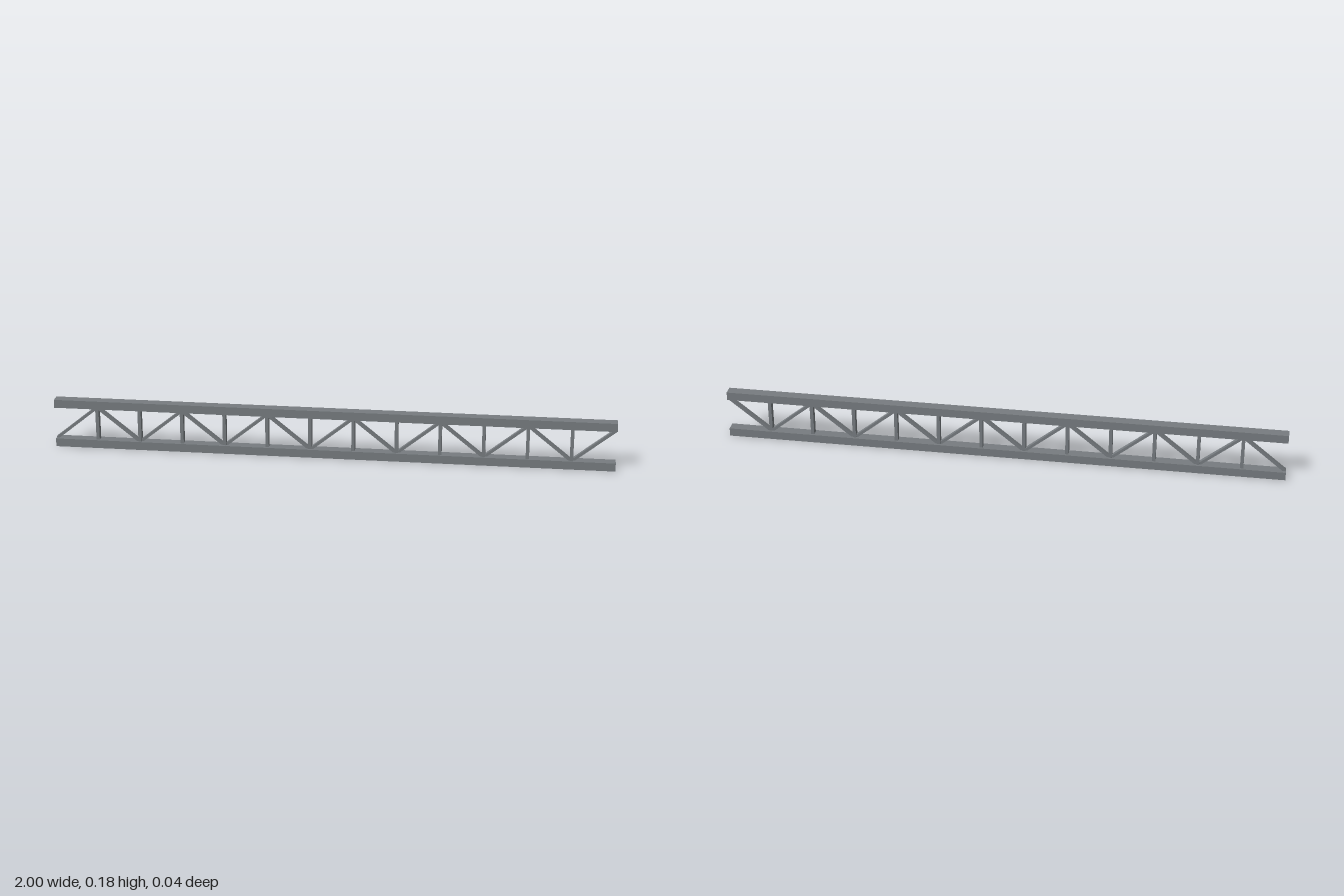
import * as THREE from 'three';

const LENGTH = 2, HEIGHT = 0.178, CHORD_H = 0.03, CHORD_D = 0.037, PANELS = 13;

export function createModel() {
  const steel = new THREE.MeshStandardMaterial({ color: 0x777c80 });
  steel.name = 'steel grey';
  const truss = new THREE.Group();
  truss.name = 'truss';

  const add = (name, geometry, x, y, angle = 0) => {
    const mesh = new THREE.Mesh(geometry, steel);
    mesh.name = name;
    mesh.position.set(x, y, 0);
    mesh.rotation.z = angle;
    truss.add(mesh);
  };

  // Top and bottom chords
  const chord = new THREE.BoxGeometry(LENGTH, CHORD_H, CHORD_D);
  add('bottomChord', chord, 0, CHORD_H / 2);
  add('topChord', chord, 0, HEIGHT - CHORD_H / 2);

  // Upright posts between the panels
  const step = LENGTH / PANELS, gap = HEIGHT - 2 * CHORD_H, midY = HEIGHT / 2;
  const post = new THREE.BoxGeometry(0.012, gap + 0.004, 0.022);
  for (let i = 1; i < PANELS; i++) add('post' + i, post, -LENGTH / 2 + i * step, midY);

  // Diagonal braces, alternately rising and falling
  const run = step - 0.008;
  const brace = new THREE.BoxGeometry(Math.hypot(run, gap), 0.01, 0.015);
  const slope = Math.atan2(gap, run);
  for (let i = 0; i < PANELS; i++) {
    add('brace' + (i + 1), brace, -LENGTH / 2 + (i + 0.5) * step, midY, i % 2 ? -slope : slope);
  }
  return truss;
}
